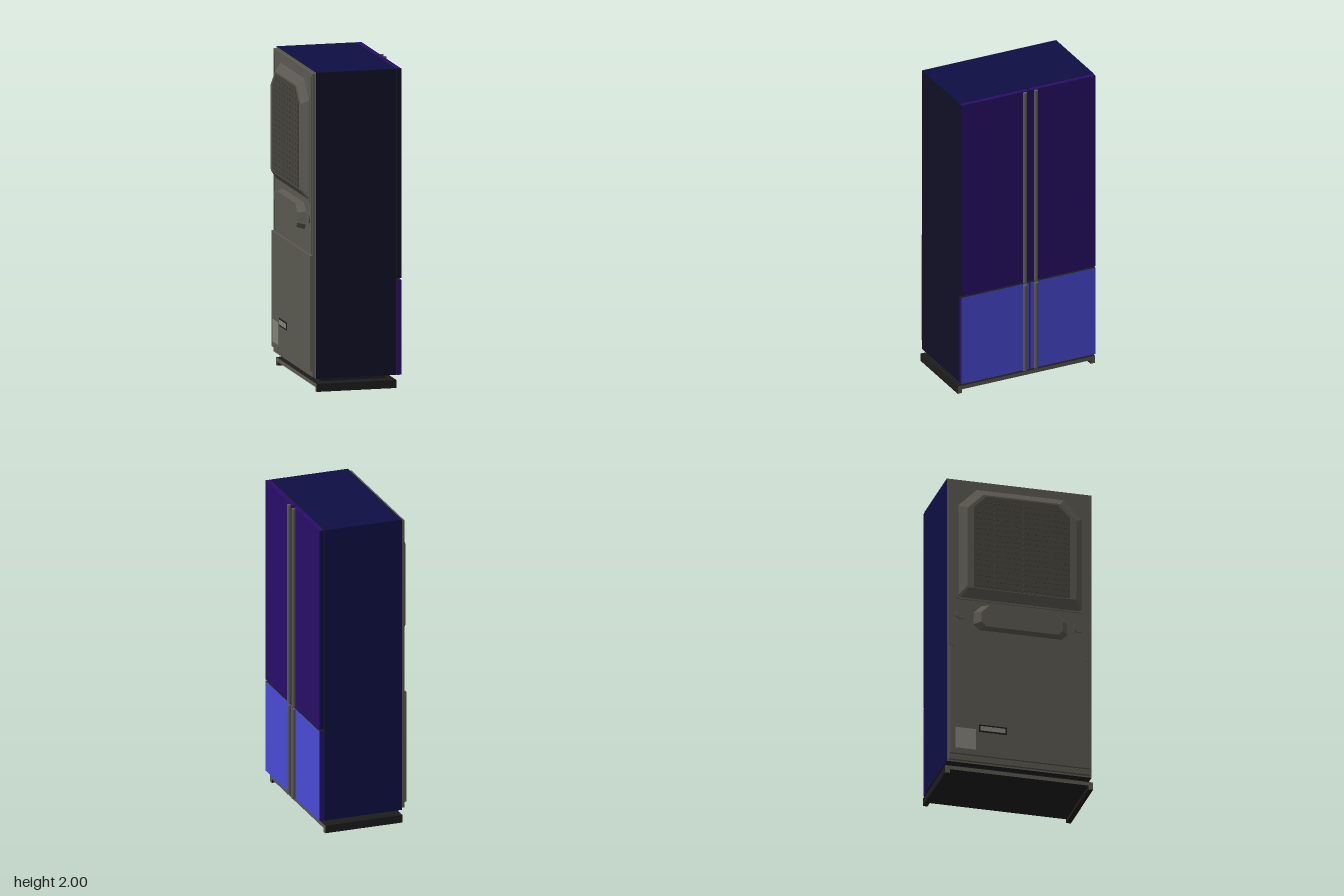
import * as THREE from 'three';
import { mergeGeometries } from 'three/addons/utils/BufferGeometryUtils.js';

const mat = (name, color) => Object.assign(new THREE.MeshStandardMaterial({ color }), { name });

export function createModel() {
  const navy = mat('navy cabinet', 0x0e0e44);
  const dark = mat('dark side', 0x0f0f24);
  const purple = mat('purple door', 0x280e68);
  const blue = mat('blue door', 0x4a4ad6);
  const gray = mat('warm gray', 0x5a5850);
  const ventGray = mat('vent gray', 0x45433c);
  const light = mat('label gray', 0x85837a);
  const black = mat('black', 0x1c1c1c);
  const model = new THREE.Group();

  const add = (name, geometry, material) => {
    const mesh = new THREE.Mesh(geometry, material);
    mesh.name = name;
    model.add(mesh);
    return mesh;
  };
  const boxGeo = (x0, x1, y0, y1, z0, z1) =>
    new THREE.BoxGeometry(x1 - x0, y1 - y0, z1 - z0)
      .translate((x0 + x1) / 2, (y0 + y1) / 2, (z0 + z1) / 2);
  const box = (name, m, ...b) => add(name, boxGeo(...b), m);

  // raised panel on the back: outline [z, y] tapering to a smaller outline
  const raised = (name, m, base, top, xBase, xTop) => {
    const pos = [];
    const n = base.length;
    const tri = (...pts) => pts.forEach((p) => pos.push(...p));
    const at = (x, p) => [x, p[1], p[0]];
    for (let i = 0; i < n; i++) {
      const j = (i + 1) % n;
      const a = at(xBase, base[i]), b = at(xBase, base[j]);
      const c = at(xTop, top[j]), d = at(xTop, top[i]);
      tri(a, b, c, a, c, d);
      if (i > 0 && i < n - 1) tri(at(xTop, top[0]), d, c);
    }
    const g = new THREE.BufferGeometry();
    g.setAttribute('position', new THREE.Float32BufferAttribute(pos, 3));
    g.computeVertexNormals();
    return add(name, g, m);
  };
  // rectangle with cut corners, counter-clockwise seen from the back
  const outline = (z0, z1, y0, y1, low, high) => [
    [z0 + low, y0], [z1 - low, y0], [z1, y0 + low], [z1, y1 - high],
    [z1 - high, y1], [z0 + high, y1], [z0, y1 - high], [z0, y0 + low],
  ];

  // cabinet, face order +x -x +y -y +z -z
  box('cabinet', [black, gray, navy, black, dark, navy], -0.25, 0.26, 0.08, 2, -0.465, 0.462);

  // doors and their bar handles
  const rows = [
    { label: 'upper', y0: 0.685, y1: 2, mats: [purple, black, purple, black, dark, navy] },
    { label: 'lower', y0: 0.08, y1: 0.675, mats: [blue, black, black, black, purple, purple] },
  ];
  const columns = [
    { side: 'Left', z0: -0.462, z1: -0.012, handleZ: -0.046 },
    { side: 'Right', z0: -0.004, z1: 0.462, handleZ: 0.03 },
  ];
  for (const r of rows) {
    for (const c of columns) {
      box(`${r.label}Door${c.side}`, r.mats, 0.264, 0.294, r.y0, r.y1, c.z0, c.z1);
      const h = r.y1 - r.y0 - 0.006;
      add(`${r.label}Handle${c.side}`, new THREE.CylinderGeometry(0.013, 0.013, h, 20), gray)
        .position.set(0.305, (r.y0 + r.y1) / 2, c.handleZ);
    }
  }

  // base: plinth, plate and the two side rails
  box('plinth', [gray, black, black, black, black, black], -0.2, 0.21, 0.05, 0.081, -0.385, 0.385);
  const baseMats = [gray, gray, black, black, black, black];
  box('basePlate', baseMats, -0.25, 0.26, 0.025, 0.05, -0.475, 0.472);
  box('baseRailRight', baseMats, -0.25, 0.26, 0, 0.026, 0.442, 0.472);
  box('baseRailLeft', baseMats, -0.25, 0.26, 0, 0.026, -0.475, -0.445);

  // back panels
  box('backPanel', gray, -0.27, -0.25, 0.09, 1.99, -0.455, 0.45);
  box('lowerBackCover', gray, -0.286, -0.269, 0.125, 0.85, -0.452, 0.448);
  for (const z of [-0.43, 0.425]) {
    box('backEdgeTrim', gray, -0.276, -0.269, 0.86, 1.97, z - 0.008, z + 0.008);
  }

  // vent housing with sloping edges
  raised('ventMount', gray, outline(-0.41, 0.405, 1.18, 1.95, 0.01, 0.12),
    outline(-0.41, 0.405, 1.18, 1.95, 0.01, 0.12), -0.269, -0.276);
  raised('ventHousing', gray, outline(-0.4, 0.395, 1.19, 1.935, 0.015, 0.12),
    outline(-0.35, 0.345, 1.245, 1.885, 0.01, 0.1), -0.275, -0.318);
  raised('ventField', ventGray, outline(-0.31, 0.305, 1.25, 1.875, 0.005, 0.08),
    outline(-0.31, 0.305, 1.25, 1.875, 0.005, 0.08), -0.317, -0.3195);

  // louvres in a regular grid
  const louvres = [];
  for (let i = 0; i < 10; i++) {
    for (let j = 0; j < 17; j++) {
      const z = -0.281 + i * 0.062;
      const y = 1.27 + j * 0.0355;
      if (y > 1.8 && (i === 0 || i === 9)) continue;
      louvres.push(boxGeo(-0.323, -0.318, y - 0.009, y + 0.009, z - 0.021, z + 0.021));
    }
  }
  add('louvres', mergeGeometries(louvres), ventGray);

  // compressor cover and round bosses beside it
  raised('compressorCover', gray, outline(-0.3, 0.3, 0.985, 1.15, 0.035, 0.05),
    outline(-0.26, 0.26, 0.995, 1.14, 0.03, 0.05), -0.269, -0.315);
  for (const z of [-0.38, 0.375]) {
    const boss = add('boss', new THREE.CylinderGeometry(0.035, 0.035, 0.012, 24), gray);
    boss.rotation.z = Math.PI / 2;
    boss.position.set(-0.274, 1.08, z);
  }

  // rating plate and drain slot
  box('ratingPlate', light, -0.289, -0.285, 0.16, 0.3, -0.42, -0.29);
  box('drainSlotFrame', black, -0.288, -0.285, 0.285, 0.335, -0.27, -0.09);
  box('drainSlot', light, -0.29, -0.287, 0.295, 0.325, -0.26, -0.1);

  return model;
}
